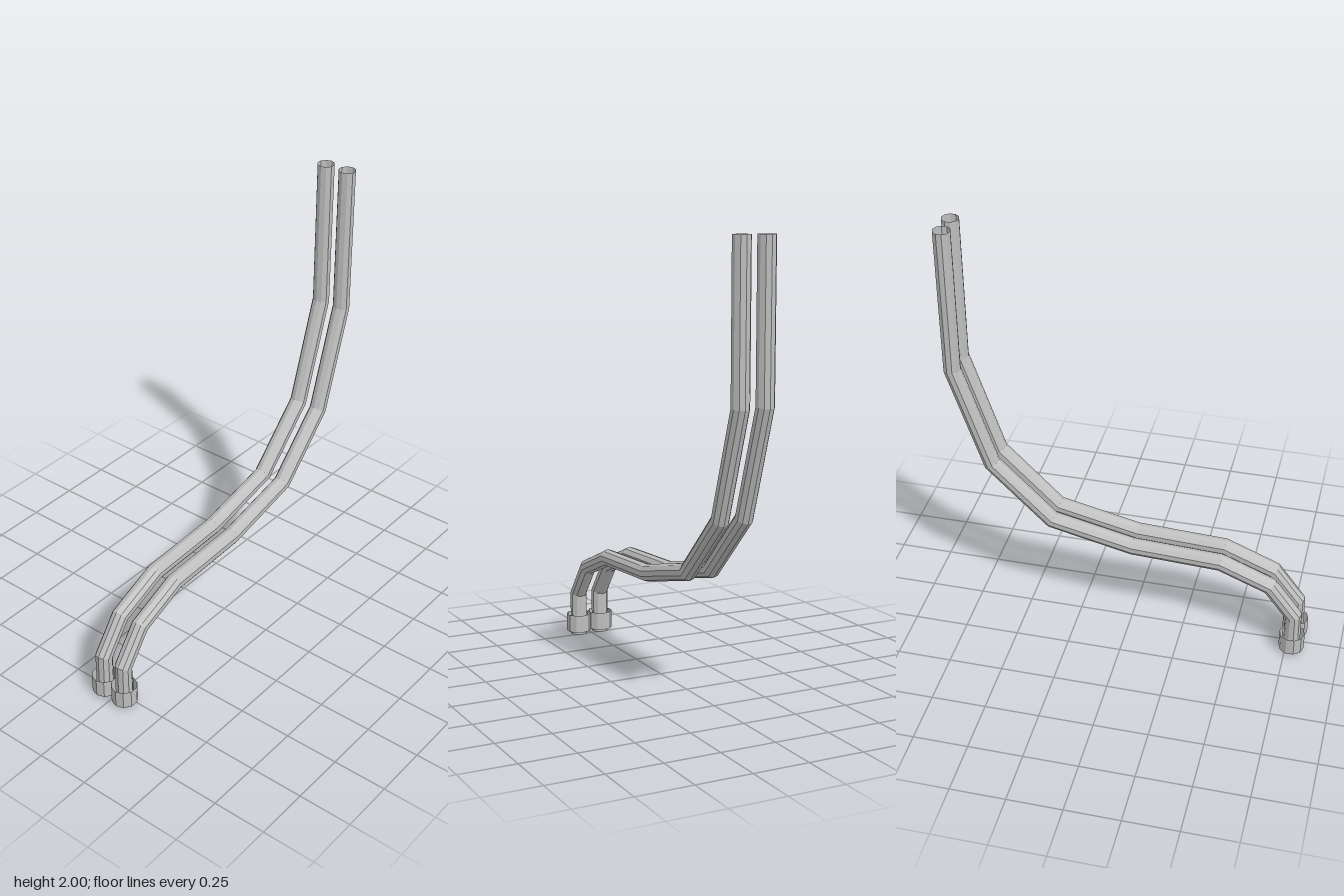
import * as THREE from 'three';

const SIDES = 10;

// Faceted open pipe swept through [z, y] points, one ring per bend
function sweepPipe(points, radius) {
  const path = points.map(([z, y]) => new THREE.Vector2(z, y));
  const positions = [];
  const indices = [];
  path.forEach((p, i) => {
    const dirIn = p.clone().sub(path[Math.max(i - 1, 0)]).normalize();
    const dirOut = path[Math.min(i + 1, path.length - 1)].clone().sub(p).normalize();
    const t = dirIn.add(dirOut).normalize();
    for (let s = 0; s < SIDES; s++) {
      const a = (s / SIDES) * Math.PI * 2;
      const n = radius * Math.cos(a); // offset within the bending plane
      positions.push(radius * Math.sin(a), p.y - t.x * n, p.x + t.y * n);
      if (i < path.length - 1) {
        const a0 = i * SIDES + s;
        const b0 = i * SIDES + ((s + 1) % SIDES);
        indices.push(a0, b0, b0 + SIDES, a0, b0 + SIDES, a0 + SIDES);
      }
    }
  });
  const geometry = new THREE.BufferGeometry();
  geometry.setAttribute('position', new THREE.Float32BufferAttribute(positions, 3));
  geometry.setIndex(indices);
  const flat = geometry.toNonIndexed();
  flat.computeVertexNormals();
  return flat;
}

export function createModel() {
  const model = new THREE.Group();
  model.name = 'twinPipes';

  const metal = new THREE.MeshStandardMaterial({ color: 0xbebebe, flatShading: true, side: THREE.DoubleSide });
  metal.name = 'light grey metal';

  // Pipe course from the foot at the front to the upright at the back
  const course = [
    [0.777, 0], [0.777, 0.206], [0.661, 0.36], [0.427, 0.456],
    [0.016, 0.474], [-0.364, 0.562], [-0.639, 0.838], [-0.797, 1.32], [-0.797, 2],
  ];
  const pipeGeometry = sweepPipe(course, 0.0395);
  const collarGeometry = new THREE.CylinderGeometry(0.059, 0.059, 0.085, SIDES, 1, true);

  for (const [side, x] of [['left', 0.057], ['right', -0.057]]) {
    const line = new THREE.Group();
    line.name = side + 'Line';
    line.position.x = x;

    const pipe = new THREE.Mesh(pipeGeometry, metal);
    pipe.name = side + 'Pipe';

    // Open sleeve around the foot of the pipe
    const collar = new THREE.Mesh(collarGeometry, metal);
    collar.name = side + 'Collar';
    collar.position.set(0, 0.058, 0.777);

    line.add(pipe, collar);
    model.add(line);
  }
  return model;
}
